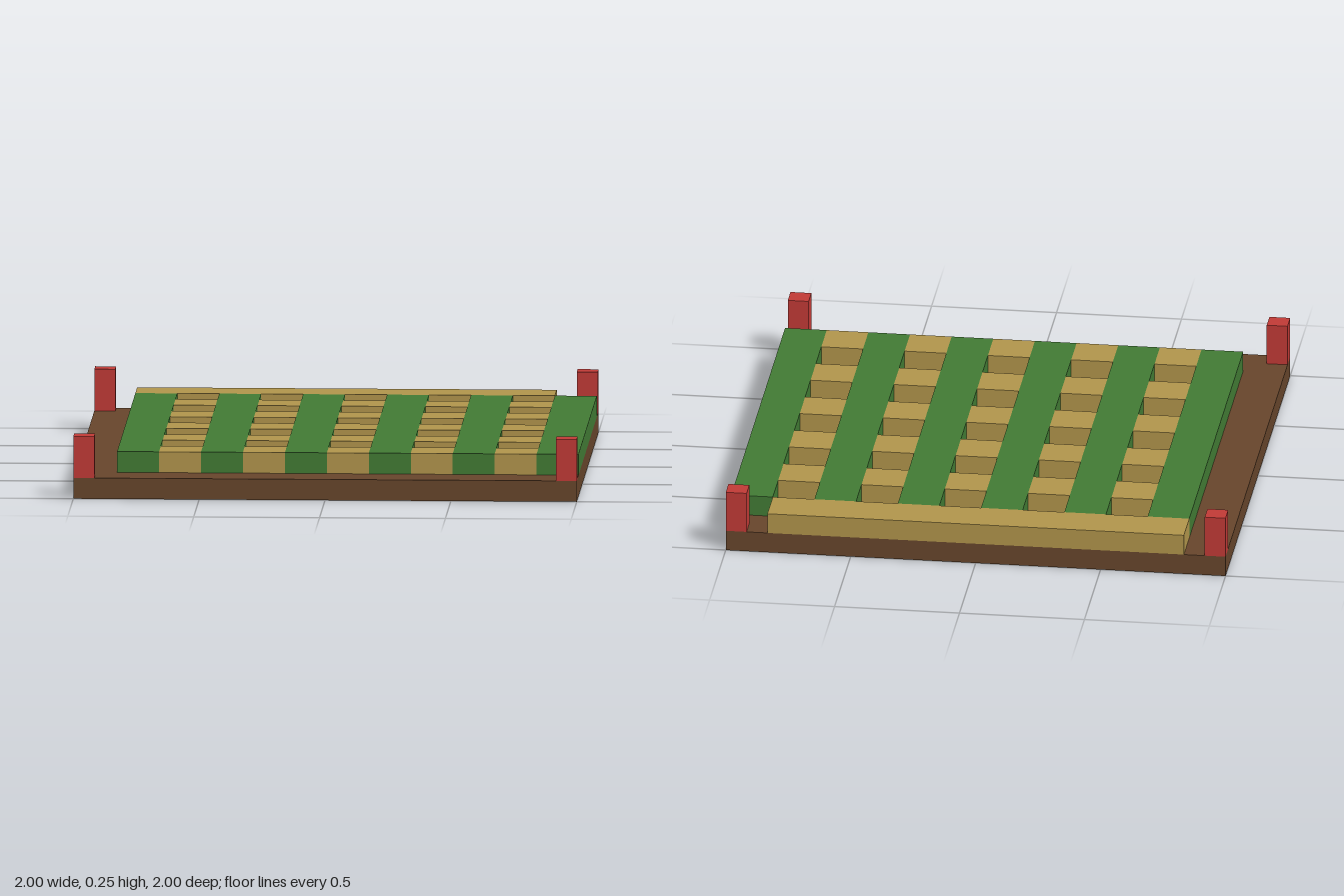
import * as THREE from 'three';

const U = 1 / 12; // grid unit: the base is 24 x 24 units

const mat = (name, color) => {
  const m = new THREE.MeshStandardMaterial({ color });
  m.name = name;
  return m;
};

export function createModel() {
  const brown = mat('brown wood', 0x66452b);
  const green = mat('green', 0x417a34);
  const tan = mat('tan wood', 0xb0944b);
  const red = mat('red', 0xc03a36);
  const model = new THREE.Group();
  model.name = 'latticePlatform';

  // Box given by its lowest corner and size, in grid units
  const box = (name, material, x, y, z, w, h, d) => {
    const mesh = new THREE.Mesh(new THREE.BoxGeometry(w * U, h * U, d * U), material);
    mesh.position.set((x + w / 2) * U, (y + h / 2) * U, (z + d / 2) * U);
    mesh.name = name;
    model.add(mesh);
  };

  box('base', brown, -12, 0, -12, 24, 1, 24);

  // Corner posts
  for (const x of [-12, 11])
    for (const z of [-12, 11]) box('cornerPost', red, x, 1, z, 1, 2, 1);

  // Rail along the back edge
  box('backRail', tan, -10, 1, -12, 20, 1, 2);

  // Lengthwise slats
  for (let i = 0; i < 6; i++) box('slat', green, -10 + 4 * i, 1, -10, 2, 1, 20);

  // Crosspieces filling the gaps between slats
  for (let i = 0; i < 5; i++)
    for (let j = 0; j < 5; j++) box('crosspiece', tan, -8 + 4 * i, 1, -8 + 4 * j, 2, 1, 2);

  return model;
}
